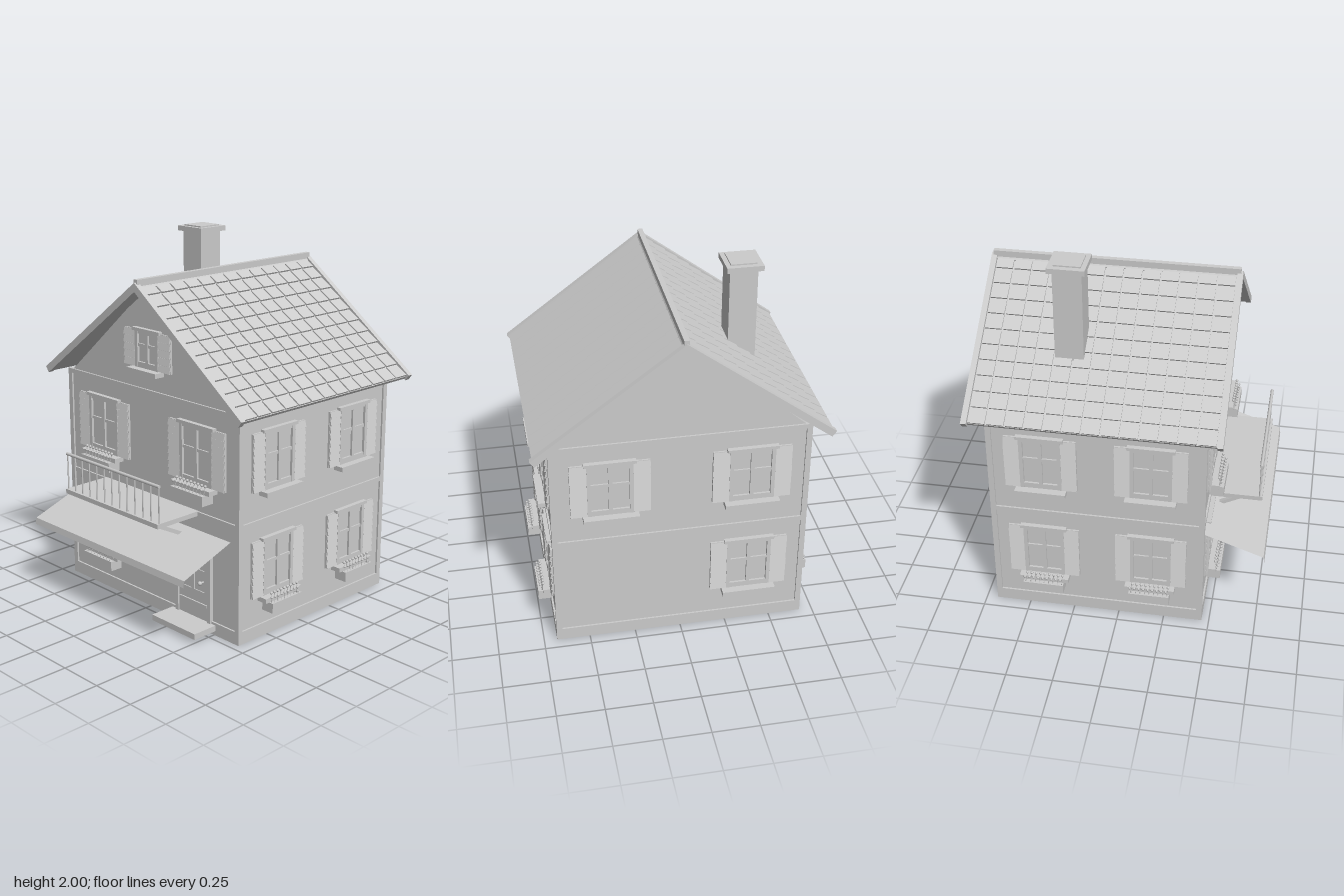
import * as THREE from 'three';

const mat = new THREE.MeshStandardMaterial({ color: 0xcccccc });
const sheetMat = new THREE.MeshStandardMaterial({ color: 0xcccccc, side: THREE.DoubleSide });

function group(name, parent) {
  const g = new THREE.Group();
  g.name = name;
  if (parent) parent.add(g);
  return g;
}

function add(parent, name, geo, x = 0, y = 0, z = 0, material = mat) {
  const m = new THREE.Mesh(geo, material);
  m.name = name;
  m.position.set(x, y, z);
  parent.add(m);
  return m;
}

// Box given by its minimum and maximum on each axis
function box(parent, name, x0, x1, y0, y1, z0, z1) {
  return add(parent, name, new THREE.BoxGeometry(x1 - x0, y1 - y0, z1 - z0),
    (x0 + x1) / 2, (y0 + y1) / 2, (z0 + z1) / 2);
}

// Cylinder between two points
function rod(parent, name, a, b, r, sides = 8) {
  const from = new THREE.Vector3(...a), to = new THREE.Vector3(...b);
  const dir = to.clone().sub(from);
  const m = add(parent, name, new THREE.CylinderGeometry(r, r, dir.length(), sides));
  m.position.copy(from).add(to).multiplyScalar(0.5);
  m.quaternion.setFromUnitVectors(new THREE.Vector3(0, 1, 0), dir.normalize());
  return m;
}

// Louvred shutter centred on x
function shutter(parent, x, w, h) {
  const g = group('shutter', parent);
  g.position.x = x;
  box(g, 'shutterBoard', -w / 2, w / 2, 0, h, 0, 0.01);
  const n = Math.round(h / 0.039), step = h / n;
  for (let i = 0; i < n; i++) {
    const slat = add(g, 'slat', new THREE.BoxGeometry(w, step * 0.92, 0.008), 0, (i + 0.5) * step, 0.014);
    slat.rotation.x = -0.25;
  }
}

// Planter hung below the sill, with a row of flowers
function flowerBox(parent, w) {
  const g = group('flowerBox', parent);
  const h = w / 2;
  box(g, 'planterFloor', -h, h, -0.08, -0.07, 0.01, 0.085);
  for (const z of [0.01, 0.077]) box(g, 'planterBoard', -h, h, -0.08, -0.025, z, z + 0.008);
  for (const x of [-h, h - 0.008]) box(g, 'planterEnd', x, x + 0.008, -0.08, -0.025, 0.01, 0.085);
  box(g, 'soil', -h + 0.008, h - 0.008, -0.07, -0.035, 0.018, 0.077);
  const n = 9;
  for (let i = 0; i < n; i++) {
    const x = (i - (n - 1) / 2) * w / n;
    rod(g, 'stem', [x, -0.04, 0.066], [x + 0.006, 0.02, 0.056], 0.002, 5);
    add(g, 'blossom', new THREE.IcosahedronGeometry(0.008, 1), x + 0.006, 0.022, 0.056);
    add(g, 'blossom', new THREE.IcosahedronGeometry(0.007, 1), x - 0.006, 0.004, 0.072);
  }
}

// Window with its bottom at y = 0, facing +z
function windowUnit(w, h, shutterWidth, planted) {
  const g = group('window');
  const a = w / 2, f = 0.02;
  box(g, 'glass', -a, a, 0, h, 0, 0.006);
  for (const s of [-1, 1]) {
    box(g, 'sideFrame', s * (a - f / 2) - f / 2, s * (a - f / 2) + f / 2, 0, h, 0, 0.02);
    shutter(g, s * (a + shutterWidth / 2), shutterWidth, h);
  }
  box(g, 'mullion', -0.01, 0.01, 0, h, 0, 0.018);
  box(g, 'bottomRail', -a, a, 0, 0.03, 0, 0.018);
  box(g, 'topRail', -a, a, h - 0.02, h, 0, 0.018);
  box(g, 'glazingBar', -a, a, h * 0.56, h * 0.56 + 0.016, 0, 0.015);
  box(g, 'lintel', -a - 0.015, a + 0.015, h - 0.005, h + 0.012, 0, 0.026);
  box(g, 'sill', -a - 0.025, a + 0.025, -0.025, 0, 0, 0.06);
  if (planted) flowerBox(g, w);
  return g;
}

function buildWalls(house) {
  const g = group('walls', house);
  box(g, 'wallCore', -0.67, 0.67, 0, 1.22, -0.68, 0.45);
  for (const [y0, y1] of [[0, 0.07], [0.63, 0.655], [1.21, 1.235]])
    box(g, 'trimBand', -0.68, 0.68, y0, y1, -0.69, 0.46);
  for (const x of [-0.68, 0.65])
    for (const z of [-0.69, 0.43]) box(g, 'cornerPost', x, x + 0.03, 0, 1.23, z, z + 0.03);
  const tri = new THREE.Shape([[-0.65, 1.23], [0.65, 1.23], [0, 1.79]].map(p => new THREE.Vector2(...p)));
  add(g, 'gable', new THREE.ExtrudeGeometry(tri, { depth: 1.13, bevelEnabled: false }), 0, 0, -0.68);
}

function buildWindows(house) {
  const g = group('windows', house);
  const place = (unit, x, y, z, turn) => {
    unit.position.set(x, y, z);
    unit.rotation.y = turn;
    g.add(unit);
  };
  const HI = 0.81, LO = 0.23, H = 0.31;
  // Front
  for (const [x, y] of [[-0.37, HI], [0.37, HI], [-0.37, LO]])
    place(windowUnit(0.24, H, 0.088, true), x, y, 0.45, 0);
  place(windowUnit(0.18, 0.2, 0.09, false), 0, 1.35, 0.45, 0);
  // Back
  for (const [x, y] of [[-0.37, HI], [0.37, HI], [-0.37, LO]])
    place(windowUnit(0.24, H, 0.088, false), x, y, -0.68, Math.PI);
  // Sides
  for (const s of [-1, 1])
    for (const z of [0.175, -0.405])
      for (const y of [HI, LO]) place(windowUnit(0.22, H, 0.081, y === LO), s * 0.67, y, z, s * Math.PI / 2);
}

function buildRoof(house) {
  const g = group('roof', house);
  const angle = Math.atan(0.742), len = 0.965, rows = 11, cols = 13;
  for (const turn of [0, Math.PI]) {
    const side = group('roofSide', g);
    side.position.set(0, 1.815, -0.12);
    side.rotation.y = turn;
    const slope = group('slope', side);
    slope.rotation.z = -angle;
    box(slope, 'roofBoard', 0, len - 0.01, -0.036, -0.018, -0.65, 0.65);
    for (const s of [-1, 1]) box(slope, 'bargeBoard', 0, len, -0.038, 0, s * 0.65 - 0.015, s * 0.65 + 0.015);
    // Overlapping tiles with narrow gaps
    const dx = (len - 0.01) / rows, dz = 1.27 / cols;
    const tileGeo = new THREE.BoxGeometry(dx * 0.97, 0.01, dz - 0.01);
    for (let r = 0; r < rows; r++)
      for (let c = 0; c < cols; c++) {
        const tile = add(slope, 'tile', tileGeo, (r + 0.5) * dx, -0.013, (c - (cols - 1) / 2) * dz);
        tile.rotation.z = 0.09;
      }
  }
  box(g, 'ridge', -0.014, 0.014, 1.795, 1.83, -0.775, 0.535);
  const chimney = group('chimney', house);
  box(chimney, 'chimneyShaft', -0.445, -0.3, 1.35, 1.97, -0.36, -0.21);
  box(chimney, 'chimneyCap', -0.47, -0.28, 1.965, 1.993, -0.383, -0.19);
  box(chimney, 'chimneyTop', -0.44, -0.305, 1.99, 2.0, -0.355, -0.215);
}

function buildBalcony(house) {
  const g = group('balcony', house);
  box(g, 'balconyFloor', -0.375, 0.375, 0.632, 0.657, 0.45, 0.735);
  rod(g, 'handrail', [-0.375, 0.855, 0.72], [0.375, 0.855, 0.72], 0.009);
  for (let i = 0; i <= 12; i++) {
    const x = -0.37 + i * 0.74 / 12;
    rod(g, 'baluster', [x, 0.65, 0.72], [x, 0.855, 0.72], 0.004);
  }
  for (const x of [-0.285, 0.285]) {
    const strut = add(g, 'strut', new THREE.BoxGeometry(0.022, 0.02, 0.28), x, 0.562, 0.575);
    strut.rotation.x = -Math.atan2(0.125, 0.24);
  }
}

// Thin sloping sheet with a short front drop
function buildAwning(house) {
  const geo = new THREE.PlaneGeometry(1.22, 1, 1, 2).toNonIndexed();
  const profile = { 0.5: [0.55, 0.45], 0: [0.435, 0.772], '-0.5': [0.4, 0.778] };
  const p = geo.attributes.position;
  for (let i = 0; i < p.count; i++) {
    const [y, z] = profile[p.getY(i)];
    p.setXYZ(i, p.getX(i), y, z);
  }
  geo.computeVertexNormals();
  add(house, 'awning', geo, 0, 0, 0, sheetMat);
}

function buildDoor(house) {
  const g = group('door', house);
  box(g, 'doorLeaf', 0.23, 0.46, 0.055, 0.48, 0.44, 0.46);
  for (const x of [0.21, 0.457]) box(g, 'doorPost', x, x + 0.023, 0.055, 0.5, 0.45, 0.47);
  box(g, 'doorLintel', 0.21, 0.48, 0.48, 0.505, 0.45, 0.472);
  for (const x of [0.235, 0.335, 0.435]) box(g, 'doorStile', x, x + 0.02, 0.2, 0.47, 0.455, 0.466);
  for (const y of [0.2, 0.32, 0.45]) box(g, 'doorRail', 0.235, 0.455, y, y + 0.018, 0.455, 0.466);
  box(g, 'kickBoard', 0.24, 0.45, 0.135, 0.15, 0.455, 0.468);
  rod(g, 'knobStem', [0.42, 0.275, 0.46], [0.42, 0.275, 0.485], 0.005);
  add(g, 'knob', new THREE.SphereGeometry(0.012, 12, 8), 0.42, 0.275, 0.486);
  box(g, 'doorStep', 0.18, 0.51, 0.025, 0.057, 0.45, 0.61);
}

export function createModel() {
  const house = group('house');
  buildWalls(house);
  buildWindows(house);
  buildRoof(house);
  buildBalcony(house);
  buildAwning(house);
  buildDoor(house);
  return house;
}
